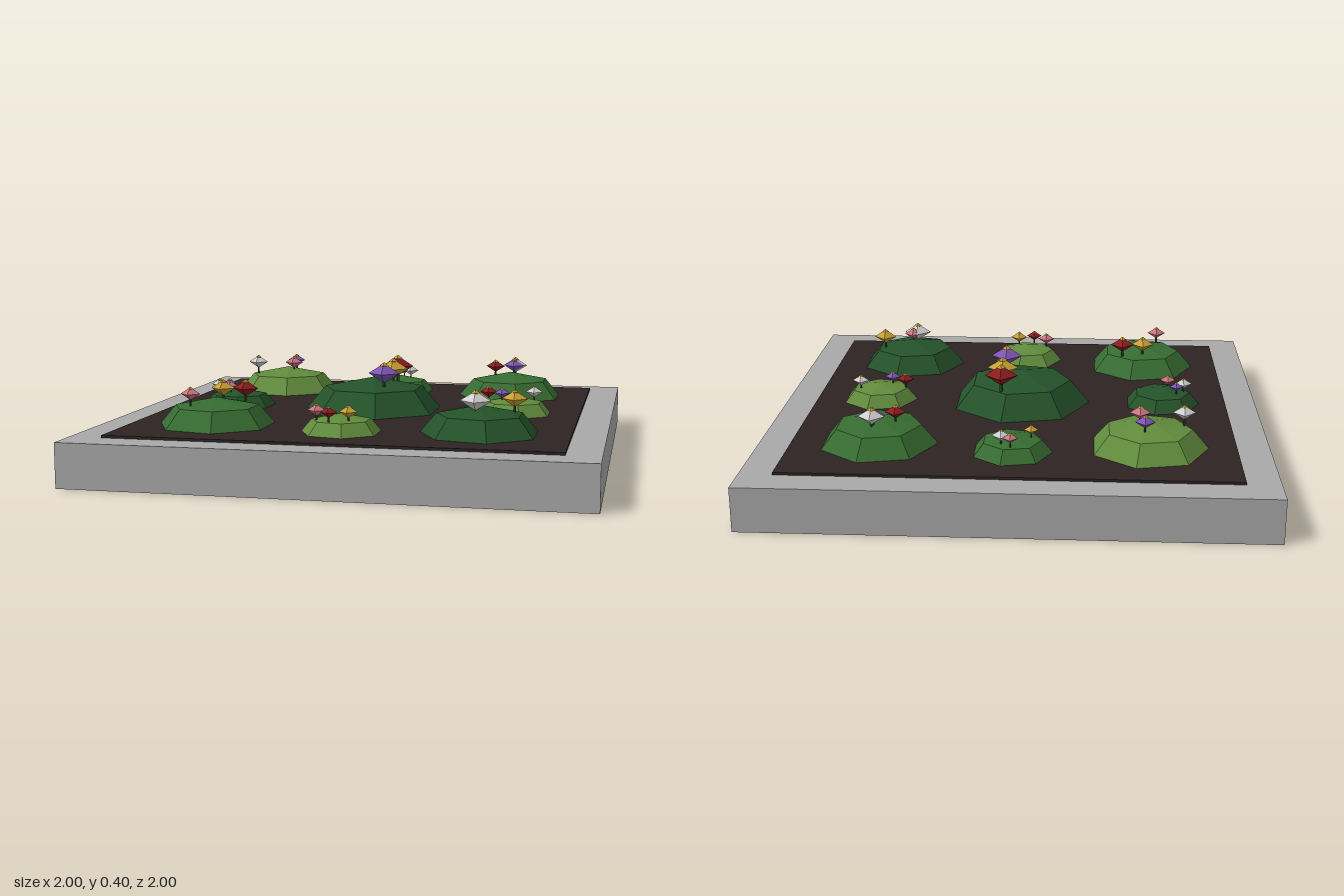
import * as THREE from 'three';

const mat = (name, color, extra = {}) => {
  const m = new THREE.MeshStandardMaterial({ color, flatShading: true, ...extra });
  m.name = name;
  return m;
};

const open = { side: THREE.DoubleSide };
const M = {
  stone: mat('stone grey', 0xa8a8a8, open),
  soil: mat('dark soil', 0x2e2323, open),
  dark: mat('dark green', 0x24522a, open),
  mid: mat('mid green', 0x376c32, open),
  light: mat('light green', 0x618b3d, open),
  red: mat('red petals', 0x8a1c1f),
  yellow: mat('yellow petals', 0xc79f35),
  purple: mat('purple petals', 0x7d55b5),
  pink: mat('pink petals', 0xcb7480),
  white: mat('white petals', 0xcfcfcf),
};

const BASE = 0.177; // height where the bushes start

// Bushes: [x, z, radius, green, flowers [colour, x, z, radius]]
const BUSHES = [
  [-0.526, -0.53, 0.24, 'light', [['white', -0.663, -0.495, 0.045], ['purple', -0.508, -0.612, 0.04], ['pink', -0.492, -0.505, 0.042]]],
  [0, -0.605, 0.165, 'mid', [['pink', 0, -0.698, 0.031], ['white', 0.037, -0.671, 0.036], ['yellow', -0.075, -0.602, 0.029]]],
  [0.526, -0.53, 0.24, 'mid', [['white', 0.54, -0.607, 0.053], ['purple', 0.535, -0.594, 0.046], ['red', 0.455, -0.548, 0.042]]],
  [-0.6, 0, 0.165, 'dark', [['purple', -0.658, -0.045, 0.029], ['white', -0.69, 0, 0.036], ['pink', -0.626, 0.045, 0.034]]],
  [0, 0, 0.3, 'dark', [['red', 0.07, -0.174, 0.068], ['yellow', 0.07, -0.067, 0.065], ['purple', 0.065, 0.106, 0.066]]],
  [0.6, 0, 0.165, 'light', [['red', 0.492, 0, 0.037], ['purple', 0.551, -0.03 + 0.06, 0.033], ['white', 0.679, -0.03, 0.036]]],
  [-0.526, 0.53, 0.24, 'mid', [['yellow', -0.53, 0.43, 0.05], ['red', -0.439, 0.42, 0.052], ['pink', -0.6, 0.623, 0.04]]],
  [0, 0.605, 0.165, 'light', [['pink', -0.086, 0.65, 0.037], ['red', -0.027, 0.698, 0.034], ['yellow', 0.043, 0.671, 0.037]]],
  [0.526, 0.53, 0.24, 'dark', [['yellow', 0.652, 0.495, 0.05], ['pink', 0.53, 0.548, 0.04], ['white', 0.513, 0.583, 0.06]]],
];

function addMesh(parent, name, geometry, material) {
  const mesh = new THREE.Mesh(geometry, material);
  mesh.name = name;
  parent.add(mesh);
  return mesh;
}

// Square box without its bottom face
function openBox(size, bottom, top) {
  const g = new THREE.BoxGeometry(size, top - bottom, size);
  g.translate(0, (top + bottom) / 2, 0);
  const index = Array.from(g.index.array);
  index.splice(18, 6);
  g.setIndex(index);
  g.clearGroups();
  return g;
}

// Squashed eight-sided gem
const gem = (radius, halfHeight) =>
  new THREE.OctahedronGeometry(1).scale(radius, halfHeight, radius);

// Petals, yellow centre and thin stem
function flower(colour, r, stemLength) {
  const g = new THREE.Group();
  g.name = 'flower';
  addMesh(g, 'petals', gem(r, r * 0.63), M[colour]);
  addMesh(g, 'flowerCentre', gem(r * 0.3, r * 0.22), M.yellow).position.y = r * 0.49;
  const stem = new THREE.CylinderGeometry(r * 0.1, r * 0.1, stemLength, 4, 1, true);
  addMesh(g, 'stem', stem, M.dark).position.y = -stemLength / 2;
  return g;
}

export function createModel() {
  const model = new THREE.Group();
  model.name = 'flowerBed';

  addMesh(model, 'stoneSlab', openBox(2, 0, 0.175), M.stone);
  addMesh(model, 'soilBed', openBox(1.74, 0.152, 0.185), M.soil);

  for (const [x, z, r, green, flowers] of BUSHES) {
    const bush = new THREE.Group();
    bush.name = 'bush';
    bush.position.set(x, BASE, z);
    model.add(bush);

    // Seven-sided half dome
    const dome = new THREE.SphereGeometry(r, 7, 2, 0, Math.PI * 2, 0, Math.PI / 2);
    addMesh(bush, 'foliage', dome.scale(1, 0.49, 1), M[green]);

    for (const [colour, fx, fz, fr] of flowers) {
      const f = flower(colour, fr, r * 0.34);
      f.position.set(fx - x, r * 0.585, fz - z);
      bush.add(f);
    }
  }
  return model;
}
